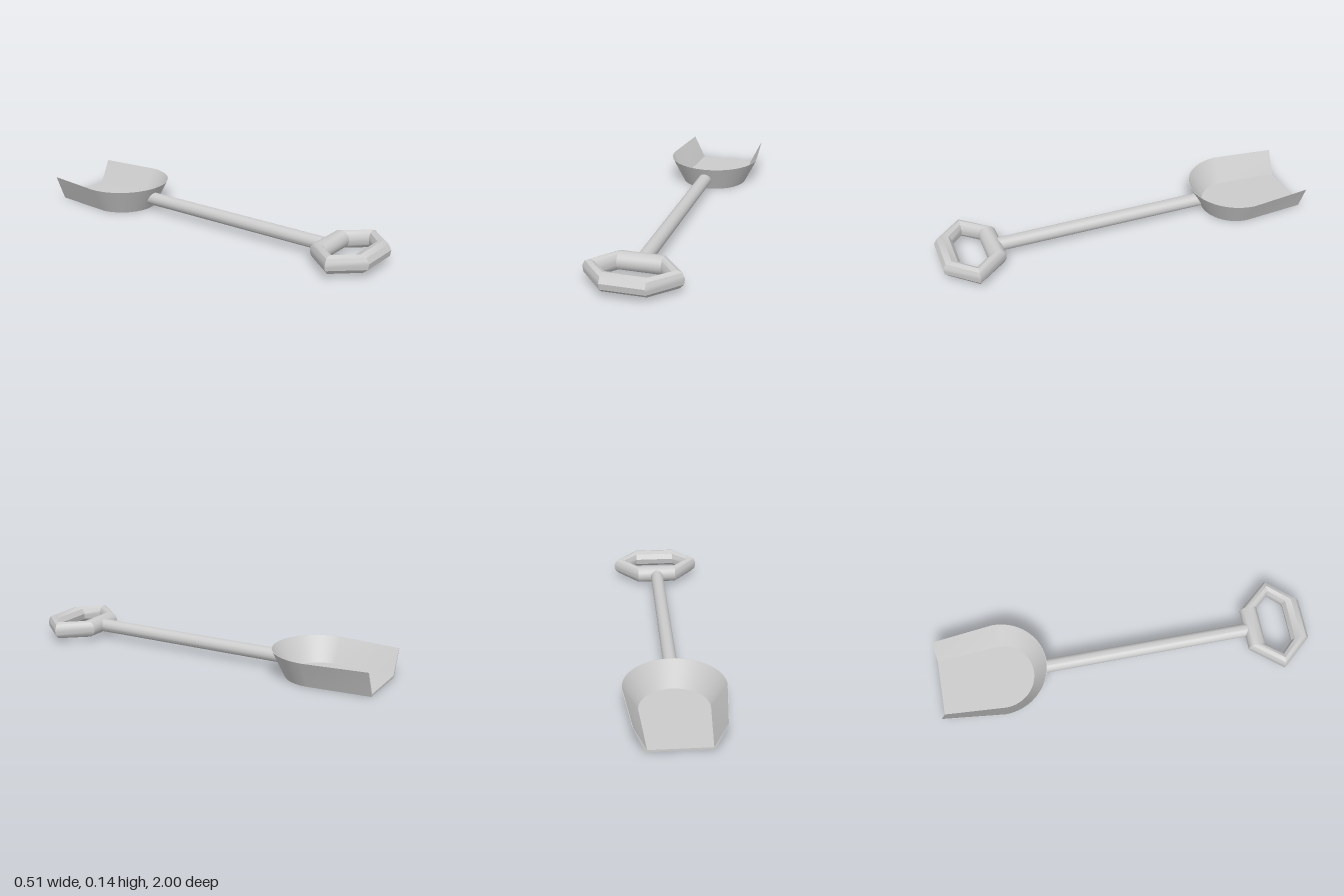
import * as THREE from 'three';
import { toCreasedNormals } from 'three/addons/utils/BufferGeometryUtils.js';

const material = new THREE.MeshStandardMaterial({ color: 0xcccccc });

// Skins a list of cross-sections; closed rings wrap both ways, open ones get end caps.
function loft(sections, closed) {
  const pos = [];
  const n = sections.length, m = sections[0].length;
  const tri = (...pts) => pts.forEach((p) => pos.push(p.x, p.y, p.z));
  for (let i = 0; i < (closed ? n : n - 1); i++) {
    const s = sections[i], t = sections[(i + 1) % n];
    for (let j = 0; j < (closed ? m : m - 1); j++) {
      const k = (j + 1) % m;
      tri(s[j], s[k], t[j]);
      tri(s[k], t[k], t[j]);
    }
  }
  if (!closed) {
    const a = sections[0], b = sections[n - 1];
    for (let j = 1; j < m; j++) {
      const p = (j + 1) % m, q = (j + 2) % m;
      if (q === 1) break;
      tri(a[1], a[q], a[p]);
      tri(b[1], b[p], b[q]);
    }
  }
  const g = new THREE.BufferGeometry();
  g.setAttribute('position', new THREE.Float32BufferAttribute(pos, 3));
  return toCreasedNormals(g, 0.5);
}

// Scoop: a U-shaped outline with flared walls that thin towards the rim
function scoopGeometry() {
  const zArc = -0.67, steps = 32;
  const rims = [[0.185, 0.16, 0], [0.255, 0.217, 0.14], [0.252, 0.214, 0.14], [0.176, 0.152, 0.012]];
  const section = (place) => {
    const pts = rims.map(([r, rEnd, y]) => {
      const [x, z] = place(r, rEnd);
      return new THREE.Vector3(x, y, z);
    });
    const floorCentre = (p) => new THREE.Vector3(0, p.y, p.z);
    return [floorCentre(pts[0]), ...pts, floorCentre(pts[3])];
  };
  const sections = [section((r, rEnd) => [rEnd, -1])];
  for (let i = 0; i <= steps; i++) {
    const a = (i / steps) * Math.PI;
    sections.push(section((r) => [r * Math.cos(a), zArc + r * Math.sin(a)]));
  }
  sections.push(section((r, rEnd) => [-rEnd, -1]));
  return loft(sections, false);
}

// Grip: six-cornered ring, faceted in front and rounded where it meets the shaft
function gripGeometry() {
  const sides = 18;
  // centre x, centre z, section direction x and z, half width, rounded
  const corners = [
    [0.212, 0.84, 1, 0, 0.039, false],
    [0.11, 0.952, 0, 1, 0.048, false],
    [-0.11, 0.952, 0, 1, 0.048, false],
    [-0.212, 0.84, -1, 0, 0.039, false],
    [-0.11, 0.717, 0, -1, 0.047, true],
    [0.11, 0.717, 0, -1, 0.047, true],
  ];
  const sections = corners.map(([cx, cz, dx, dz, w, rounded]) => {
    const ring = [];
    for (let j = 0; j < sides; j++) {
      const a = Math.PI / 2 + (j / sides) * Math.PI * 2;
      // every other point sits on the middle of a facet
      const r = !rounded && j % 2 ? Math.cos(Math.PI / 9) : 1;
      const out = w * r * Math.cos(a);
      ring.push(new THREE.Vector3(cx + dx * out, 0.07 + 0.047 * r * Math.sin(a), cz + dz * out));
    }
    return ring;
  });
  return loft(sections, true);
}

// Shaft: round bar whose far end is cut to the slope of the scoop wall
function shaftGeometry() {
  const g = new THREE.CylinderGeometry(0.036, 0.036, 1.14, 24);
  g.rotateX(Math.PI / 2);
  g.translate(0, 0.069, 0.12);
  const p = g.attributes.position;
  for (let i = 0; i < p.count; i++) {
    if (p.getZ(i) < 0) p.setZ(i, -0.487 + 0.5 * p.getY(i));
  }
  return toCreasedNormals(g, 0.5);
}

export function createModel() {
  const model = new THREE.Group();
  model.name = 'shovel';
  const add = (name, geometry, x = 0) => {
    const mesh = new THREE.Mesh(geometry, material);
    mesh.name = name;
    mesh.position.x = x;
    model.add(mesh);
  };
  add('scoop', scoopGeometry());
  add('shaft', shaftGeometry(), -0.004);
  add('grip', gripGeometry(), -0.003);
  return model;
}
